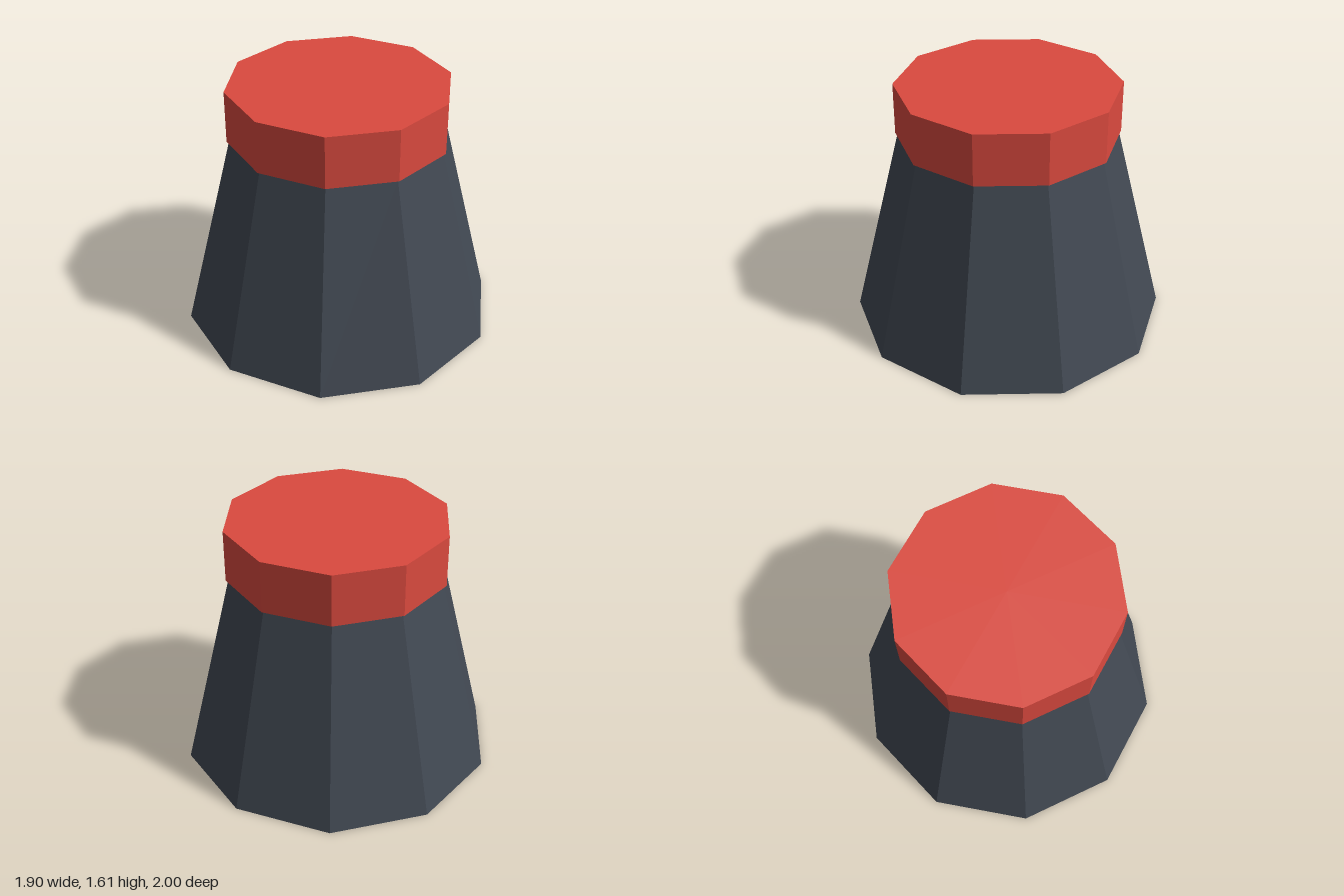
import * as THREE from 'three';

const SIDES = 10;

// Ten-sided frustum standing on y = bottom, with a corner facing +z
function frustum(name, topRadius, bottomRadius, bottom, top, color) {
  const geometry = new THREE.CylinderGeometry(topRadius, bottomRadius, top - bottom, SIDES);
  geometry.translate(0, (bottom + top) / 2, 0);
  const mesh = new THREE.Mesh(geometry, new THREE.MeshStandardMaterial({ color }));
  mesh.material.flatShading = true;
  mesh.name = name;
  return mesh;
}

export function createModel() {
  const model = new THREE.Group();
  model.name = 'taperedContainer';

  // Dark tapered body
  model.add(frustum('body', 0.68, 1, 0, 1.28, 0x424953));

  // Red cap, slightly overhanging the body
  model.add(frustum('cap', 0.695, 0.695, 1.28, 1.61, 0xdb4a3f));

  // Golden plate set just inside the base
  model.add(frustum('basePlate', 0.7, 0.7, 0.002, 0.03, 0xd79b32));

  return model;
}
